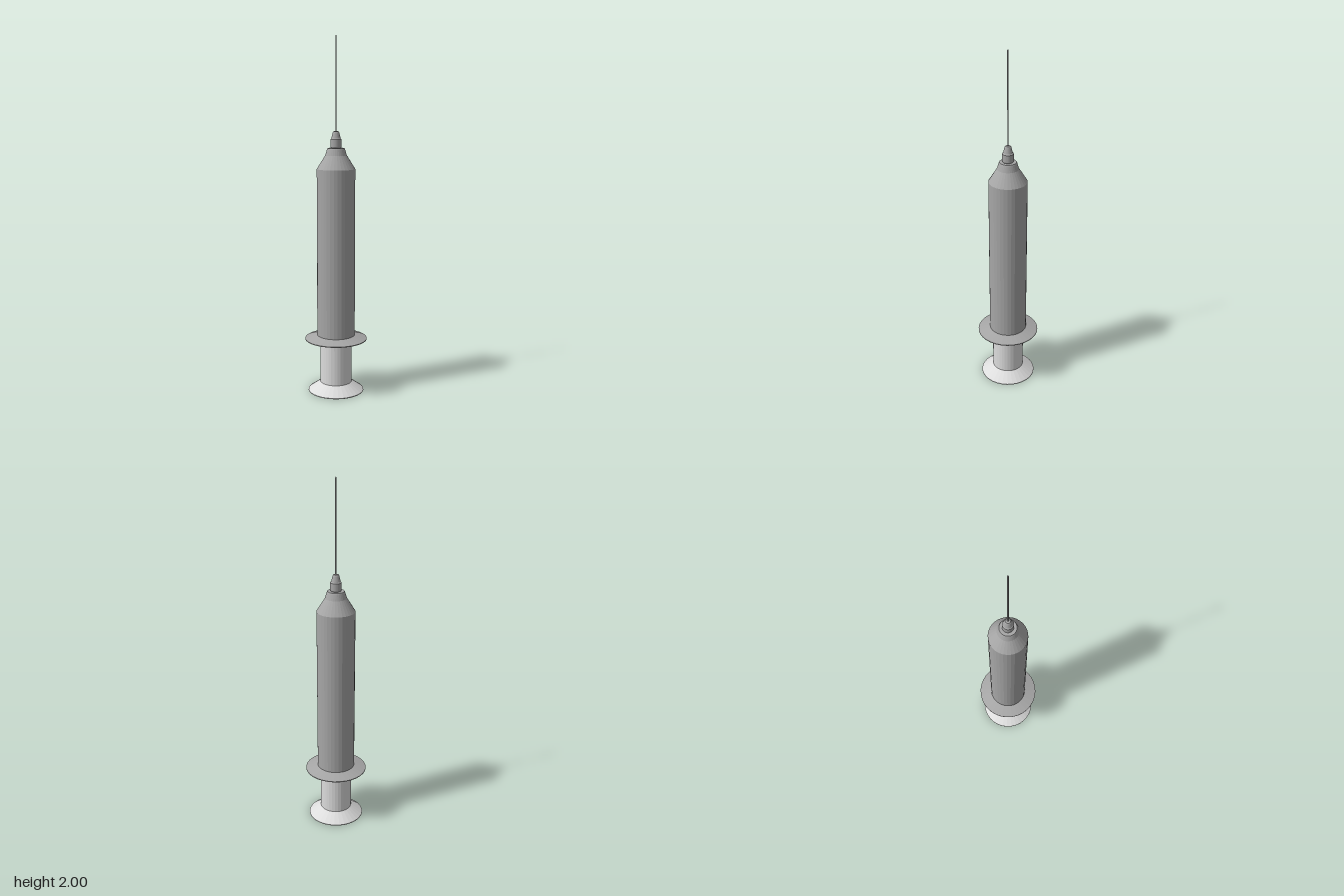
import * as THREE from 'three';

const SIDES = 32;

// Faceted solid of revolution; profile runs bottom to top as [radius, y]
function turned(name, profile, material, sides = SIDES) {
  const points = profile.map(([r, y]) => new THREE.Vector2(r, y));
  const geometry = new THREE.LatheGeometry(points, sides).toNonIndexed();
  geometry.computeVertexNormals();
  const mesh = new THREE.Mesh(geometry, material);
  mesh.name = name;
  return mesh;
}

export function createModel() {
  const barrelGrey = new THREE.MeshStandardMaterial({ color: 0xa6a6a6 });
  barrelGrey.name = 'barrel grey';
  const plungerWhite = new THREE.MeshStandardMaterial({ color: 0xdcdcdc });
  plungerWhite.name = 'plunger white';

  const model = new THREE.Group();
  model.name = 'syringe';

  // Plunger: flared thumb rest and rod running up into the barrel
  model.add(turned('plunger', [
    [0, 0], [0.158, 0], [0.158, 0.004], [0.09, 0.052], [0.09, 0.33],
  ], plungerWhite));

  // Finger flange with a shallow recess around the rod
  model.add(turned('fingerFlange', [
    [0.088, 0.305], [0.1, 0.305], [0.1, 0.288], [0.11, 0.288],
    [0.176, 0.304], [0.176, 0.308], [0.107, 0.328],
  ], barrelGrey));

  // Barrel tube
  model.add(turned('barrel', [[0.107, 0.328], [0.107, 1.275]], barrelGrey));

  // Shoulder narrowing to the tip
  model.add(turned('shoulder', [
    [0.107, 1.275], [0.06, 1.35], [0.05, 1.383], [0.047, 1.39], [0, 1.39],
  ], barrelGrey));

  // Needle hub
  model.add(turned('needleHub', [
    [0.026, 1.388], [0.031, 1.397], [0.031, 1.438], [0.026, 1.443],
    [0.018, 1.476], [0.014, 1.482], [0, 1.482],
  ], barrelGrey));

  // Needle
  model.add(turned('needle', [
    [0.004, 1.48], [0.004, 1.995], [0, 2],
  ], barrelGrey, 8));

  return model;
}
